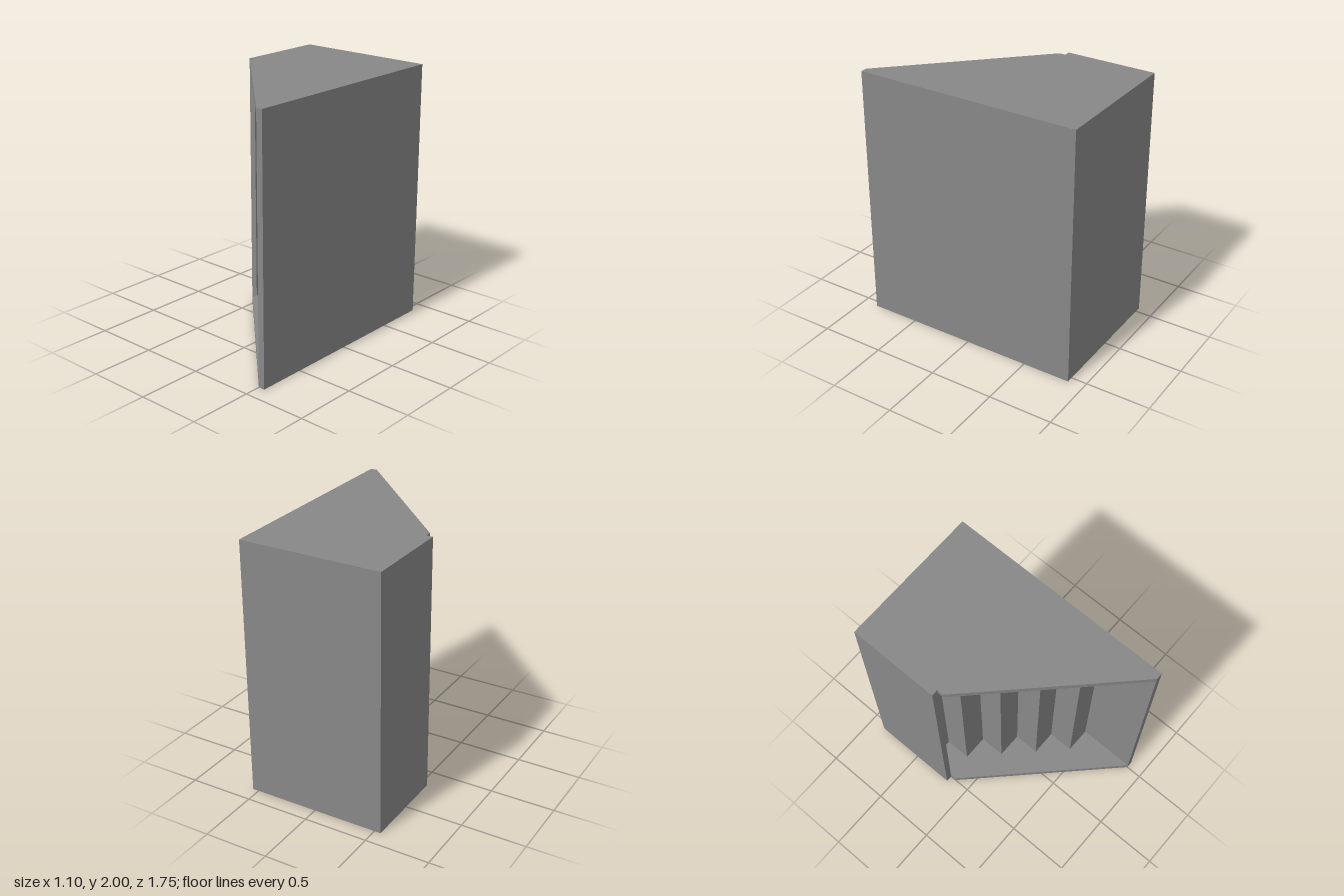
import * as THREE from 'three';

const W = 0.55, T = 0.05, H = 2, BACK = -0.875, FRONT = 0.875;
const INNER = W - T;

export function createModel() {
  const model = new THREE.Group();
  const material = new THREE.MeshStandardMaterial({ color: 0x888888 });

  const add = (name, geometry) => {
    const mesh = new THREE.Mesh(geometry, material);
    mesh.name = name;
    model.add(mesh);
    return mesh;
  };

  // Box given by its limits on each axis
  const box = (name, x0, x1, y0, y1, z0, z1) => {
    add(name, new THREE.BoxGeometry(x1 - x0, y1 - y0, z1 - z0))
      .position.set((x0 + x1) / 2, (y0 + y1) / 2, (z0 + z1) / 2);
  };

  // Side walls: short on the right, long on the left
  box('rightWall', -W, -INNER, 0, H, BACK, -0.175);
  box('leftWall', INNER, W, 0, H, BACK, FRONT);

  // Back panel between the walls
  box('backPanel', -INNER, INNER, T, H - T, BACK, BACK + T);

  // Floor and roof plates with a diagonal front edge (shape y becomes -z)
  const outline = new THREE.Shape([
    new THREE.Vector2(-INNER, 0.125),
    new THREE.Vector2(INNER, -FRONT),
    new THREE.Vector2(INNER, -BACK),
    new THREE.Vector2(-INNER, -BACK),
  ]);
  const plate = new THREE.ExtrudeGeometry(outline, { depth: T, bevelEnabled: false });
  plate.rotateX(-Math.PI / 2);
  add('floor', plate);
  add('roof', plate).position.y = H - T;

  // Upright columns stepping forward along the diagonal
  for (let i = 0; i < 5; i++) {
    const x = -INNER + i * 0.2;
    box(`steppedColumn${i + 1}`, x, x + 0.2, T, H - T, BACK + T, -0.375 + i * 0.2);
  }

  return model;
}
